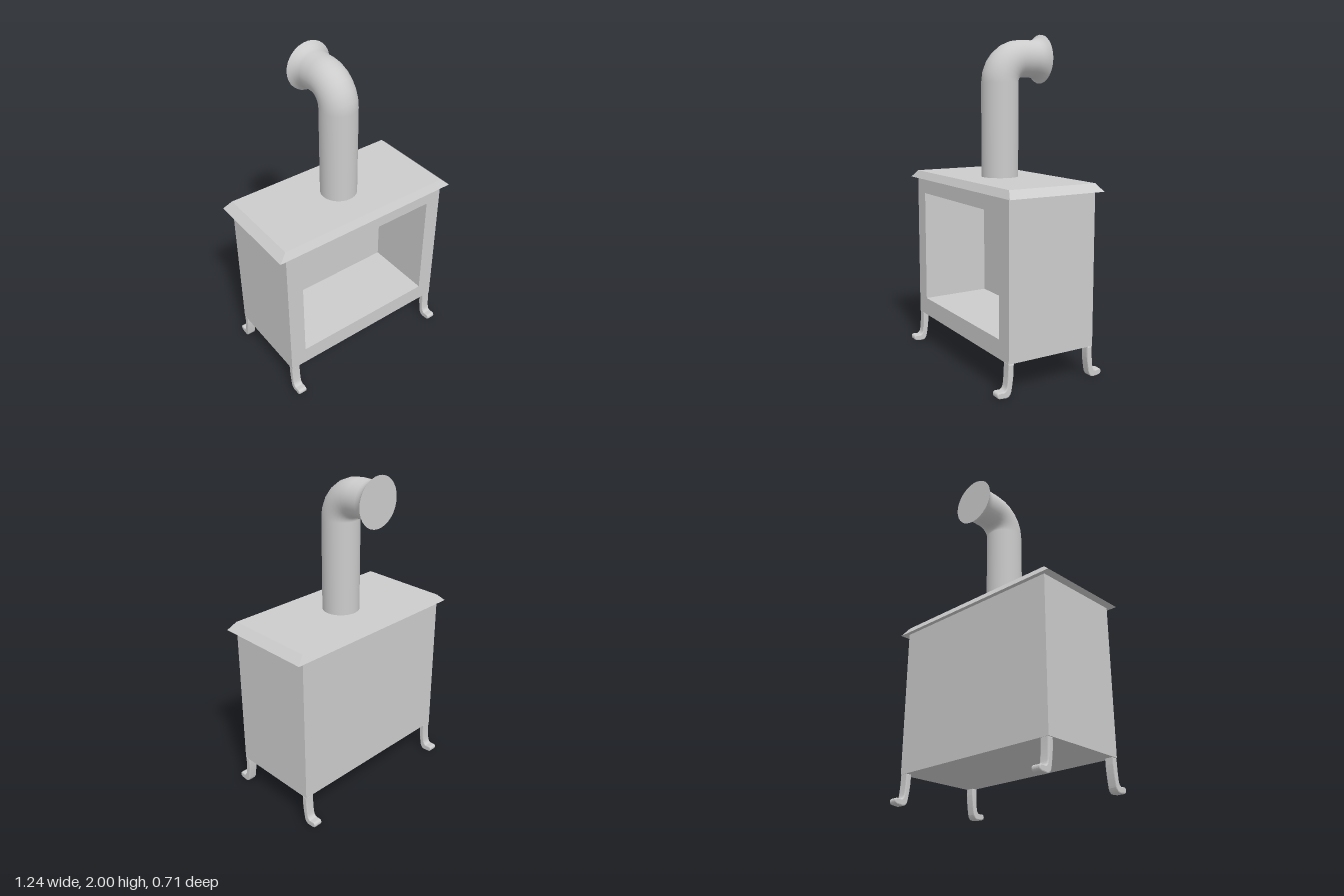
import * as THREE from 'three';

const material = new THREE.MeshStandardMaterial({ color: 0xcccccc });

function addMesh(parent, name, geometry, x = 0, y = 0, z = 0) {
  const mesh = new THREE.Mesh(geometry, material);
  mesh.name = name;
  mesh.position.set(x, y, z);
  parent.add(mesh);
  return mesh;
}

// Box whose bottom edge spreads outward, giving sloped sides
function lidGeometry(topW, topD, bottomW, bottomD, h) {
  const g = new THREE.BoxGeometry(topW, h, topD);
  const p = g.attributes.position;
  for (let i = 0; i < p.count; i++) {
    if (p.getY(i) < 0) {
      p.setX(i, Math.sign(p.getX(i)) * bottomW / 2);
      p.setZ(i, Math.sign(p.getZ(i)) * bottomD / 2);
    }
  }
  g.computeVertexNormals();
  return g;
}

// Curved leg: side profile (outward, up) extruded across its width
function legGeometry(width) {
  const bevel = 0.006;
  const s = new THREE.Shape();
  s.moveTo(0.256, 0.188);
  s.bezierCurveTo(0.256, 0.12, 0.264, 0.08, 0.27, 0.045);
  s.quadraticCurveTo(0.275, 0.011, 0.3, 0.011);
  s.lineTo(0.335, 0.014);
  s.quadraticCurveTo(0.349, 0.016, 0.349, 0.028);
  s.quadraticCurveTo(0.349, 0.039, 0.338, 0.039);
  s.lineTo(0.312, 0.037);
  s.quadraticCurveTo(0.29, 0.042, 0.286, 0.075);
  s.quadraticCurveTo(0.28, 0.12, 0.279, 0.188);
  const g = new THREE.ExtrudeGeometry(s, {
    depth: width - 2 * bevel, bevelEnabled: true, bevelSize: bevel,
    bevelThickness: bevel, bevelSegments: 2, curveSegments: 6,
  });
  g.translate(0, -0.005, -width / 2 + bevel);
  g.rotateY(-Math.PI / 2); // profile now points along +z
  return g;
}

export function createModel() {
  const stove = new THREE.Group();
  stove.name = 'stove';

  // Firebox: hollow front shell closed by a solid back
  const W = 0.57, D = 0.285, Y0 = 0.19, Y1 = 1.1, backZ = -0.155;
  const firebox = new THREE.Group();
  firebox.name = 'firebox';
  stove.add(firebox);
  const wall = new THREE.Shape([
    new THREE.Vector2(-W, Y0), new THREE.Vector2(W, Y0),
    new THREE.Vector2(W, Y1), new THREE.Vector2(-W, Y1),
  ]);
  wall.holes.push(new THREE.Path([
    new THREE.Vector2(-0.467, 0.302), new THREE.Vector2(-0.467, 1.005),
    new THREE.Vector2(0.467, 1.005), new THREE.Vector2(0.467, 0.302),
  ]));
  addMesh(firebox, 'fireboxShell',
    new THREE.ExtrudeGeometry(wall, { depth: D - backZ, bevelEnabled: false }), 0, 0, backZ);
  addMesh(firebox, 'fireboxBack',
    new THREE.BoxGeometry(2 * W, Y1 - Y0, backZ + D), 0, (Y0 + Y1) / 2, (backZ - D) / 2);

  // Sloped top plate
  addMesh(stove, 'topPlate', lidGeometry(1.14, 0.57, 1.24, 0.622, 0.045), 0, 1.1225, 0);

  // Four legs with feet turned to front and back
  const leg = legGeometry(0.056);
  for (const sx of [-1, 1]) {
    for (const sz of [-1, 1]) {
      const name = (sz > 0 ? 'front' : 'back') + (sx > 0 ? 'Left' : 'Right') + 'Leg';
      addMesh(stove, name, leg, sx * 0.542).rotation.y = sz > 0 ? 0 : Math.PI;
    }
  }

  // Flue: upright pipe, elbow, and flared outlet to the back
  const r = 0.112, bend = 0.142, elbowY = 1.71, plateY = 1.14, sides = 32;
  const flue = new THREE.Group();
  flue.name = 'flue';
  stove.add(flue);
  addMesh(flue, 'uprightPipe',
    new THREE.CylinderGeometry(r, r, elbowY - plateY, sides, 1, true), 0, (elbowY + plateY) / 2, 0);
  addMesh(flue, 'elbow',
    new THREE.TorusGeometry(bend, r, sides, 6, Math.PI / 2), 0, elbowY, -bend).rotation.y = -Math.PI / 2;
  const flare = [[r, bend], [r, 0.215], [0.116, 0.238], [0.124, 0.258], [0.135, 0.272], [0.148, 0.285]]
    .map(([x, y]) => new THREE.Vector2(x, y));
  addMesh(flue, 'flaredOutlet',
    new THREE.LatheGeometry(flare, sides), 0, elbowY + bend, 0).rotation.x = -Math.PI / 2;
  addMesh(flue, 'outletCap',
    new THREE.CircleGeometry(0.148, sides), 0, elbowY + bend, -0.285).rotation.y = Math.PI;

  return stove;
}
